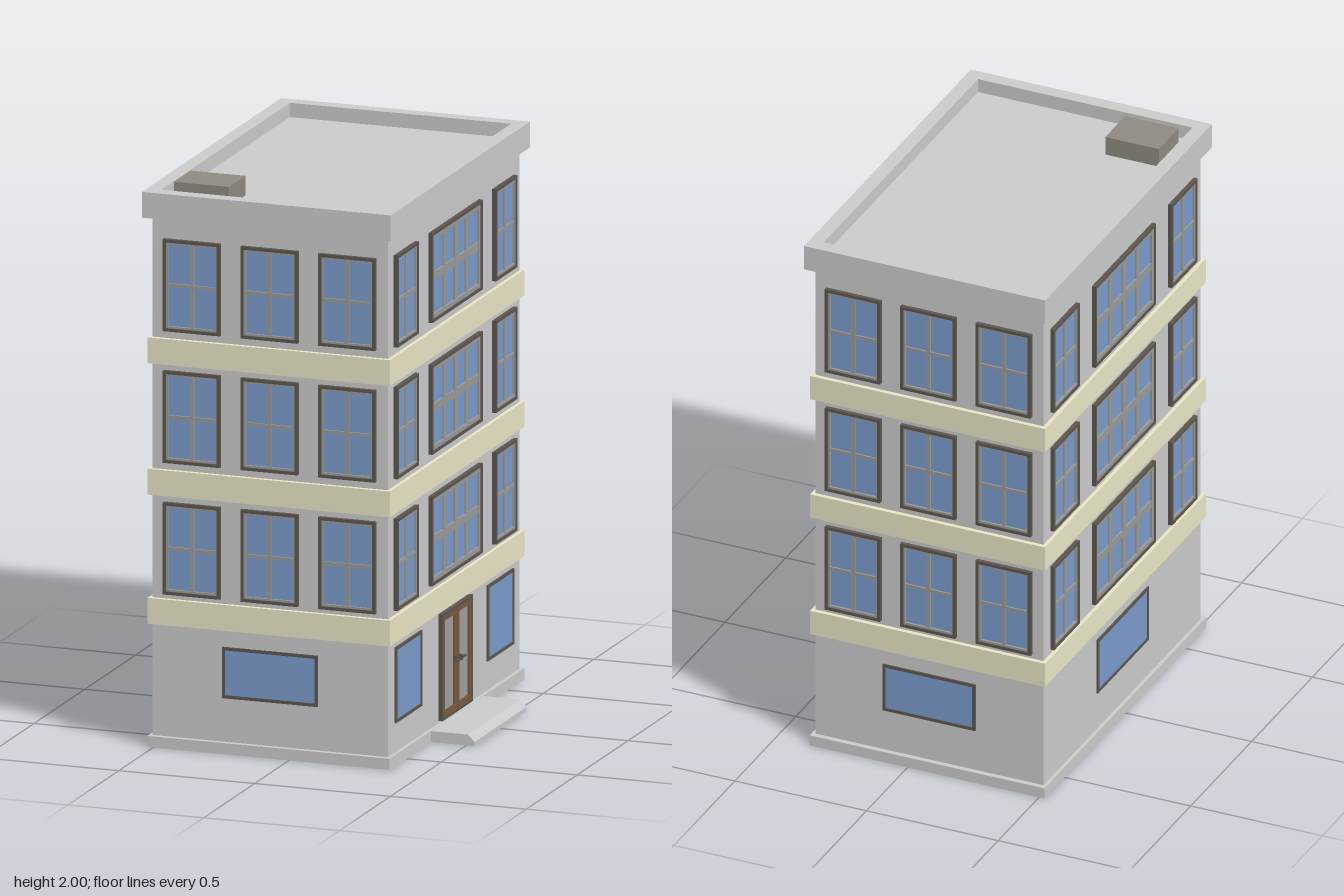
import * as THREE from 'three';

const CX = -0.075; // the building sits off centre because of the doorstep
const HX = 0.433, HZ = 0.645; // half sizes of the walls

const paint = (color) => new THREE.MeshStandardMaterial({ color });
const mats = {
  wall: paint(0xcccccc),
  band: paint(0xe9e6c6),
  glass: paint(0x7a9bcc),
  frame: paint(0x5c564e),
  bar: paint(0x9a9a98),
  wood: paint(0x7a5a3c),
  doorGlass: paint(0xa0a0a0),
  vent: paint(0x8f8a80),
};

function add(parent, name, geometry, material, x = 0, y = 0, z = 0) {
  const mesh = new THREE.Mesh(geometry, material);
  mesh.name = name;
  mesh.position.set(x, y, z);
  parent.add(mesh);
  return mesh;
}

function box(parent, name, material, w, h, d, x, y, z) {
  return add(parent, name, new THREE.BoxGeometry(w, h, d), material, x, y, z);
}

function rectPath(PathType, w, h) {
  return new PathType([
    new THREE.Vector2(-w / 2, -h / 2), new THREE.Vector2(w / 2, -h / 2),
    new THREE.Vector2(w / 2, h / 2), new THREE.Vector2(-w / 2, h / 2),
  ]);
}

// Rectangular frame in the xy plane, extruded towards +z
function frameGeometry(w, h, border, depth) {
  const shape = rectPath(THREE.Shape, w, h);
  shape.holes.push(rectPath(THREE.Path, w - 2 * border, h - 2 * border));
  return new THREE.ExtrudeGeometry(shape, { depth, bevelEnabled: false });
}

// Open rectangular ring lying flat, from y0 to y1
function ring(parent, name, hx, hz, thickness, y0, y1) {
  const geo = frameGeometry(2 * hx, 2 * hz, thickness, y1 - y0);
  geo.rotateX(-Math.PI / 2);
  return add(parent, name, geo, mats.wall, CX, y0, 0);
}

// Window with its outer face towards +z; bars divide it into cols x rows
function addWindow(face, name, u, y, w, h, { cols = 1, rows = 1, wide = false, proud = 0.015 } = {}) {
  const win = new THREE.Group();
  win.name = name;
  win.position.set(u, y, 0);
  face.add(win);
  add(win, 'outerFrame', frameGeometry(w, h, 0.011, proud), mats.frame);
  let iw = w - 0.02, ih = h - 0.02;
  box(win, 'glass', mats.glass, iw, ih, 0.022, 0, 0, -0.008);
  if (cols === 1) return;
  const border = wide ? 0.016 : 0.008;
  add(win, 'sash', frameGeometry(iw, ih, border, proud * 0.75), mats.bar);
  iw -= 2 * border;
  ih -= 2 * border;
  const barW = wide ? 0.025 : 0.014;
  for (let i = 1; i < cols; i++) {
    box(win, 'verticalBar', mats.bar, barW, ih, 0.006, -iw / 2 + (iw * i) / cols, 0, 0.006);
  }
  for (let j = 1; j < rows; j++) {
    box(win, 'crossBar', mats.bar, iw, wide ? 0.028 : 0.012, 0.006, 0, -ih / 2 + (ih * j) / rows, 0.006);
  }
}

function addDoor(face) {
  const door = new THREE.Group();
  door.name = 'door';
  door.position.y = 0.238;
  face.add(door);
  add(door, 'doorFrame', frameGeometry(0.3, 0.38, 0.01, 0.016), mats.frame);
  for (const s of [-1, 1]) {
    const leaf = new THREE.Group();
    leaf.name = 'doorLeaf';
    leaf.position.x = s * 0.071;
    door.add(leaf);
    add(leaf, 'leafFrame', frameGeometry(0.139, 0.364, 0.021, 0.013), mats.wood);
    box(leaf, 'leafGlass', mats.doorGlass, 0.1, 0.325, 0.012, 0, 0, 0);
    box(leaf, 'handleStem', mats.frame, 0.01, 0.02, 0.018, -s * 0.057, 0, 0.018);
    box(leaf, 'handle', mats.frame, 0.042, 0.008, 0.006, -s * 0.042, 0, 0.026);
  }
}

export function createModel() {
  const model = new THREE.Group();
  model.name = 'building';

  // Hollow ground floor on a plinth, solid upper floors
  ring(model, 'plinth', 0.446, 0.664, 0.034, 0, 0.04);
  ring(model, 'groundFloorWalls', HX, HZ, 0.015, 0.03, 0.45);
  box(model, 'upperWalls', mats.wall, 2 * HX, 1.46, 2 * HZ, CX, 1.18, 0);

  // Floor bands
  for (const y of [0.485, 0.945, 1.413]) {
    box(model, 'floorBand', mats.band, 0.892, 0.092, 1.322, CX, y, 0);
  }

  // Roof slab with parapet and vent
  box(model, 'roof', mats.wall, 0.9, 0.04, 1.36, CX, 1.911, 0);
  ring(model, 'parapet', 0.458, 0.685, 0.051, 1.89, 1.982);
  box(model, 'roofVent', mats.vent, 0.203, 0.075, 0.163, -0.3525, 1.9625, 0.5);

  // Doorstep with a sloping front edge
  const step = new THREE.Shape([
    [0.35, 0], [0.531, 0], [0.531, 0.015], [0.507, 0.039], [0.35, 0.039],
  ].map(([x, y]) => new THREE.Vector2(x, y)));
  add(model, 'doorstep', new THREE.ExtrudeGeometry(step, { depth: 0.512, bevelEnabled: false }),
    mats.wall, 0, 0, -0.256);

  // Four facades, each built facing +z and then turned into place
  const facades = [
    ['frontFacade', 0, CX, HZ], ['backFacade', Math.PI, CX, -HZ],
    ['leftFacade', Math.PI / 2, CX + HX, 0], ['rightFacade', -Math.PI / 2, CX - HX, 0],
  ];
  for (const [name, angle, x, z] of facades) {
    const face = new THREE.Group();
    face.name = name;
    face.rotation.y = angle;
    face.position.set(x, 0, z);
    model.add(face);
    const narrow = z !== 0;

    // Upper floor windows
    for (const y of [0.712, 1.181, 1.65]) {
      const offset = narrow ? 0.286 : 0.484;
      for (const s of [-1, 1]) {
        addWindow(face, 'window', s * offset, y, 0.21, 0.328, { cols: 2, rows: 2 });
      }
      if (narrow) addWindow(face, 'window', 0, y, 0.21, 0.328, { cols: 2, rows: 2 });
      else addWindow(face, 'wideWindow', 0, y, 0.495, 0.32, { cols: 4, rows: 2, wide: true });
    }

    // Ground floor openings
    if (narrow) {
      addWindow(face, 'groundWindow', 0, 0.287, 0.352, 0.182, { proud: 0.006 });
    } else if (name === 'rightFacade') {
      addWindow(face, 'groundWindow', 0, 0.287, 0.42, 0.21, { proud: 0.006 });
    } else {
      for (const s of [-1, 1]) {
        addWindow(face, 'shopWindow', s * 0.452, 0.28, 0.256, 0.27, { proud: 0.006 });
      }
      addDoor(face);
    }
  }
  return model;
}
